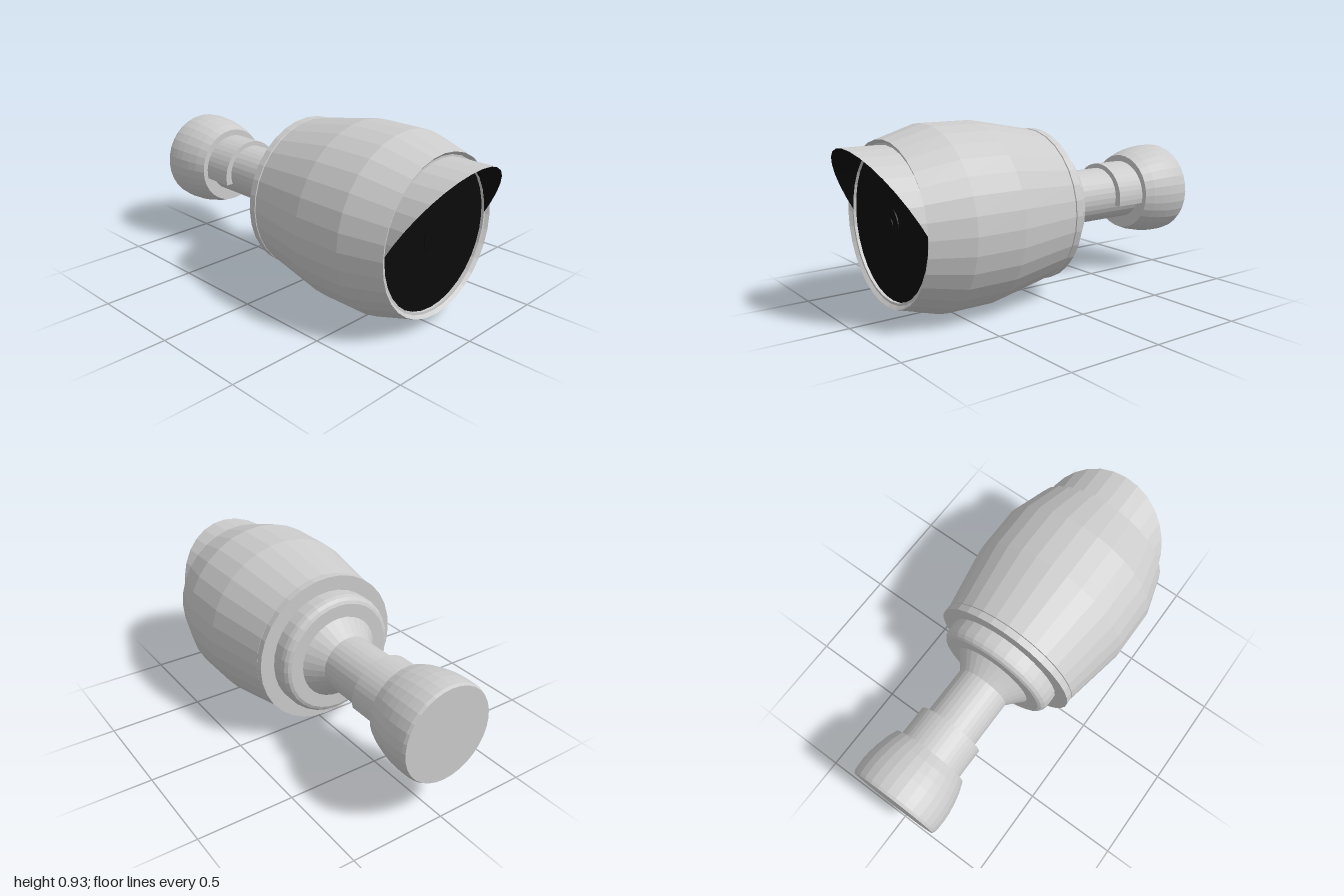
import * as THREE from 'three';

const AXIS_Y = 0.467;
const SIDES = 32;

// Lathe turned about the z axis; profile entries are [radius, z], from back to front
function turned(profile) {
  const geo = new THREE.LatheGeometry(profile.map(([r, z]) => new THREE.Vector2(r, z)), SIDES);
  return geo.rotateX(Math.PI / 2);
}

export function createModel() {
  const model = new THREE.Group();
  const grey = new THREE.MeshStandardMaterial({ color: 0xcccccc, flatShading: true });
  const black = new THREE.MeshStandardMaterial({ color: 0x0a0a0a, flatShading: true });
  const blackInside = new THREE.MeshStandardMaterial({ color: 0x0a0a0a, flatShading: true, side: THREE.BackSide });

  function add(name, geo, material = grey) {
    const mesh = new THREE.Mesh(geo, material);
    mesh.name = name;
    mesh.position.y = AXIS_Y;
    model.add(mesh);
    return mesh;
  }

  // Barrel housing with a bevelled front rim
  add('housing', turned([
    [0, -0.035], [0.4, -0.035], [0.465, 0.32], [0.465, 0.585], [0.402, 0.8], [0.386, 0.785], [0.374, 0.785], [0.374, 0.765],
  ]));

  // Rear collar and stepped, rounded back cap
  add('rearCollar', turned([[0, -0.077], [0.402, -0.077], [0.402, -0.04], [0.39, -0.035]]));
  add('backCap', turned([
    [0, -0.182], [0.29, -0.182], [0.306, -0.175], [0.319, -0.16], [0.325, -0.138], [0.325, -0.07],
  ]));

  // Neck with a flared root
  add('neck', turned([
    [0.147, -0.72], [0.147, -0.265], [0.172, -0.235], [0.197, -0.207], [0.222, -0.18],
  ]));

  // Half sleeve saddling the top of the neck, with a flat underside
  const a = -0.2;
  const sleeveShape = new THREE.Shape();
  sleeveShape.absarc(0, 0, 0.182, a, Math.PI - a, false);
  sleeveShape.closePath();
  const sleeve = add('neckSleeve', new THREE.ExtrudeGeometry(sleeveShape, {
    depth: 0.175, bevelEnabled: false, curveSegments: 12,
  }));
  sleeve.position.set(0, AXIS_Y - 0.01, -0.715);

  // Rounded mounting foot
  const foot = add('mountFoot', turned([
    [0, -1], [0.243, -1], [0.25, -0.985], [0.253, -0.955], [0.254, -0.92], [0.251, -0.87],
    [0.243, -0.82], [0.23, -0.765], [0.21, -0.712], [0, -0.712],
  ]));
  foot.position.y = 0.463;

  // Visor: a tube whose front edge is cut along a sloping plane
  function visorTube(radius) {
    const geo = turned([[radius, 0.765], [radius, 1]]);
    const pos = geo.attributes.position;
    for (let i = 0; i < pos.count; i++) {
      if (pos.getZ(i) > 0.9) {
        pos.setZ(i, Math.max(0.77, 0.8 + 0.2 * (pos.getY(i) - 0.038) / 0.338));
      }
    }
    geo.computeVertexNormals();
    return geo;
  }
  add('visor', visorTube(0.376));
  add('visorLining', visorTube(0.3745), blackInside);

  // Dark front glass with a small raised lens
  add('frontGlass', new THREE.CircleGeometry(0.375, SIDES).translate(0, 0, 0.77), black);
  add('lens', turned([[0.083, 0.768], [0.083, 0.776], [0.035, 0.776], [0.035, 0.78], [0, 0.78]]), black);

  return model;
}
